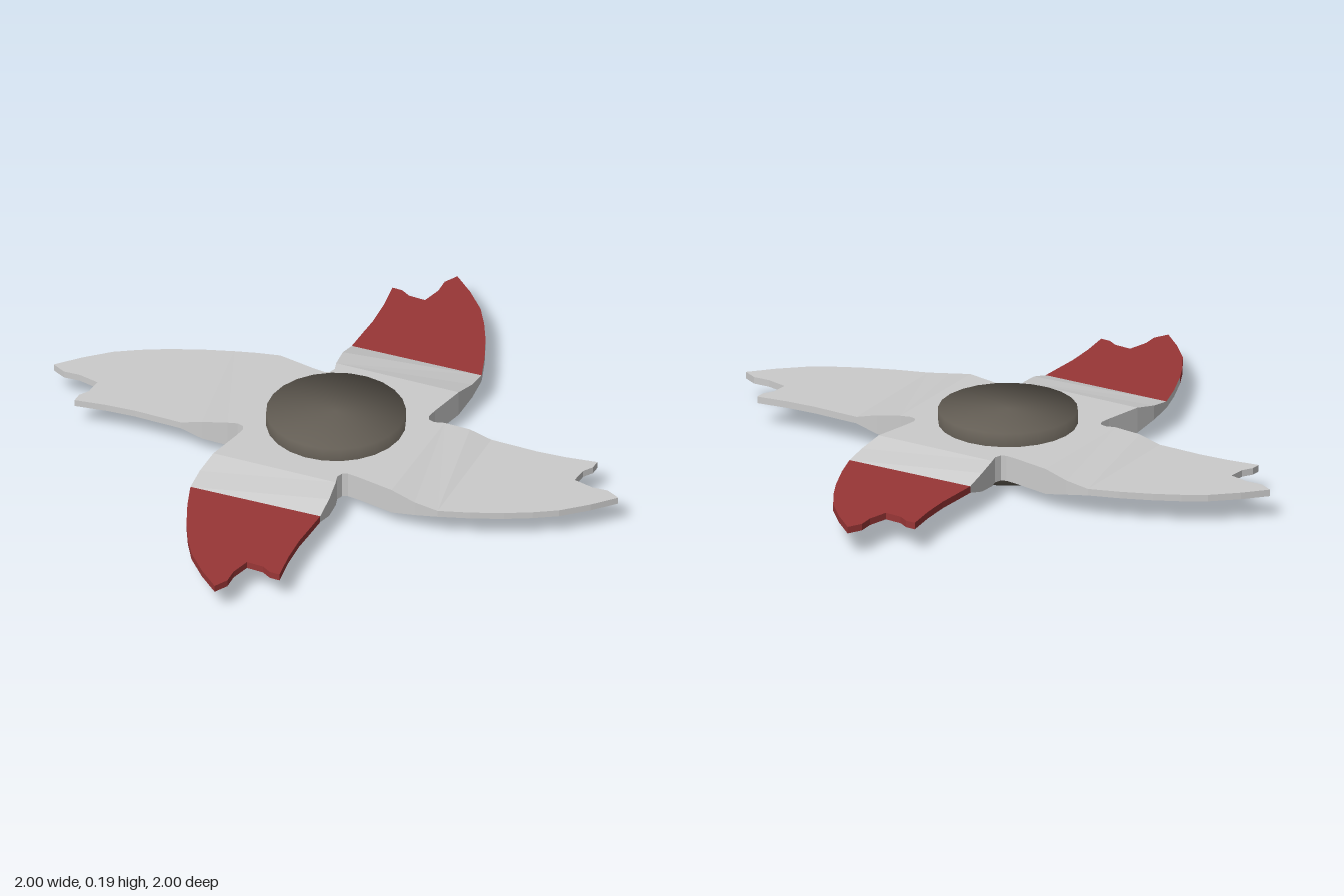
import * as THREE from 'three';
import { mergeVertices } from 'three/addons/utils/BufferGeometryUtils.js';

const MID = 0.096;                       // height of the mid plane
const THICK = 0.046, THIN = 0.012;       // half thickness of body and blade

// Outline of one arm as [x, z, half thickness], front notch -> tip -> back notch
const front = [
  [0.225, 0.225, THICK], [0.24, 0.212, THICK], [0.28, 0.205, THICK], [0.42, 0.19, THICK],
  [0.51, 0.173, 0.026], [0.59, 0.145, THIN],
];
const tip = [
  [0.68, 0.08], [0.77, 0.005], [0.84, -0.063], [0.9, -0.132], [0.957, -0.23], [1, -0.325],
  [0.945, -0.335], [0.89, -0.315], [0.815, -0.31], [0.8, -0.37], [0.81, -0.41],
  [0.8, -0.445], [0.7, -0.397], [0.6, -0.358], [0.52, -0.335],
].map(([x, z]) => [x, z, THIN]);
const back = [
  [0.435, -0.31, THIN], [0.36, -0.285, 0.034], [0.28, -0.245, THICK],
  [0.25, -0.225, THICK], [0.225, -0.225, THICK],
];

const fill = (pts) => THREE.ShapeUtils
  .triangulateShape(pts.map(([x, z]) => new THREE.Vector2(x, z)), [])
  .map((face) => face.map((i) => pts[i]));

// Mirrored top and bottom triangles plus upright walls along the given edges
function slab(name, triangles, edges, color) {
  const pos = [];
  const put = (p, side) => pos.push(p[0], MID + side * p[2], p[1]);
  for (const [a, b, c] of triangles) {
    const up = (b[1] - a[1]) * (c[0] - a[0]) - (b[0] - a[0]) * (c[1] - a[1]) > 0;
    const [p, q] = up ? [b, c] : [c, b];
    [a, p, q].forEach((v) => put(v, 1));
    [a, q, p].forEach((v) => put(v, -1));
  }
  for (const [a, b] of edges) {
    put(a, -1); put(b, -1); put(b, 1);
    put(a, -1); put(b, 1); put(a, 1);
  }
  const geo = new THREE.BufferGeometry();
  geo.setAttribute('position', new THREE.Float32BufferAttribute(pos, 3));
  geo.computeVertexNormals();
  const mesh = new THREE.Mesh(geo, new THREE.MeshStandardMaterial({ color, flatShading: true }));
  mesh.name = name;
  return mesh;
}

const edgesOf = (pts) => pts.slice(1).map((p, i) => [pts[i], p]);

function createArm(bladeColor) {
  const arm = new THREE.Group();
  const [p0, p1, p2] = front.slice(3);
  const [q2, q1, q0] = back;

  // Thick root and the faceted bevel that thins it towards the blade
  const root = fill([[0, 0, THICK], ...front.slice(0, 4), ...back.slice(2)]);
  const bevel = [[q0, p0, p1], [q0, p1, p2], [q0, q1, p2], [q1, q2, p2]];
  arm.add(slab('armRoot', [...root, ...bevel],
    [...edgesOf([...front, ...tip.slice(0, 2)]), ...edgesOf(back)], 0xcccccc));

  // Thin curved blade with a notched end
  arm.add(slab('blade', fill([p2, ...tip, q2]), edgesOf([...tip.slice(1), q2]), bladeColor));
  return arm;
}

export function createModel() {
  const model = new THREE.Group();
  model.name = 'throwingStar';

  // Four arms, coloured on one opposite pair
  ['right', 'back', 'left', 'front'].forEach((_, i) => {
    const arm = createArm(i % 2 ? 0xcccccc : 0x993636);
    arm.name = ['leftArm', 'backArm', 'rightArm', 'frontArm'][i];
    arm.rotation.y = i * Math.PI / 2;
    model.add(arm);
  });

  // Dark hub with normals smoothed over its rim
  let hubGeo = new THREE.CylinderGeometry(0.24, 0.24, 0.19, 24);
  hubGeo.deleteAttribute('normal');
  hubGeo.deleteAttribute('uv');
  hubGeo = mergeVertices(hubGeo);
  hubGeo.computeVertexNormals();
  const hub = new THREE.Mesh(hubGeo,
    new THREE.MeshStandardMaterial({ color: 0x645e55, side: THREE.DoubleSide }));
  hub.name = 'hub';
  hub.position.y = 0.095;
  model.add(hub);

  return model;
}
